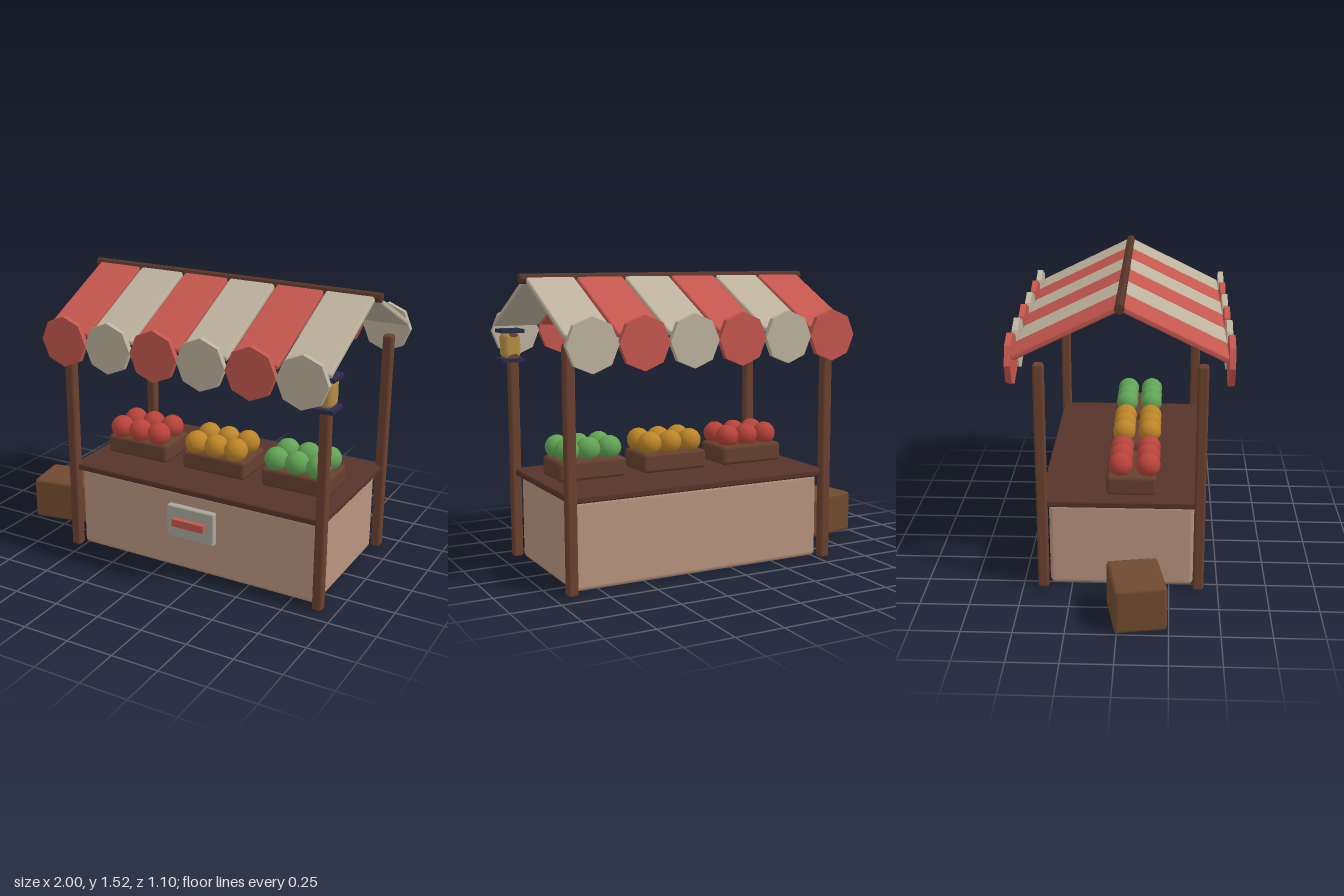
import * as THREE from 'three';
import { RoundedBoxGeometry } from 'three/addons/geometries/RoundedBoxGeometry.js';

const paint = (color, flatShading = false) => new THREE.MeshStandardMaterial({ color, flatShading });

const MATS = {
  post: paint(0x6b412f),
  ridge: paint(0x56352a, true),
  panel: paint(0xb8937f),
  counter: paint(0x57342a),
  tray: paint(0x66402f),
  crate: paint(0x714a30),
  red: paint(0xc4574e),
  cream: paint(0xbdb29d),
  redScallop: paint(0xc4574e, true),
  creamScallop: paint(0xbdb29d, true),
  plate: paint(0xa9a79c),
  lampCap: paint(0x2c2b4c),
  lampGlass: paint(0xb58d45),
};

export function createModel() {
  const model = new THREE.Group();
  const midX = 0.183;

  function add(name, geometry, material, x, y, z, parent = model) {
    const mesh = new THREE.Mesh(geometry, material);
    mesh.name = name;
    mesh.position.set(x, y, z);
    parent.add(mesh);
    return mesh;
  }
  // Box with a single soft chamfer along its edges
  const chamferBox = (w, h, d, bevel) => new RoundedBoxGeometry(w, h, d, 1, bevel);

  // Stall body and counter
  add('stallBody', chamferBox(1.4, 0.45, 0.74, 0.025), MATS.panel, midX, 0.225, 0.005);
  add('counterTop', chamferBox(1.46, 0.036, 0.82, 0.01), MATS.counter, midX, 0.465, 0);

  // Corner posts
  for (const [side, x] of [['left', 0.905], ['right', -0.54]]) {
    for (const [end, z] of [['Front', 0.4], ['Back', -0.395]]) {
      add(side + end + 'Post', chamferBox(0.055, 1.21, 0.055, 0.014), MATS.post, x, 0.605, z);
    }
  }

  // Price sign on the front panel
  add('signPlate', chamferBox(0.276, 0.18, 0.04, 0.008), MATS.plate, 0.18, 0.285, 0.395);
  add('signStripe', new THREE.BoxGeometry(0.184, 0.04, 0.04), MATS.red, 0.18, 0.293, 0.424);

  // Trays, each holding two rows of three fruits
  const fruitGeometry = new THREE.SphereGeometry(0.063, 14, 10);
  const trays = [['redFruit', -0.287, 0xb8443a], ['orangeFruit', 0.183, 0xbd8528], ['greenFruit', 0.65, 0x62a455]];
  for (const [name, x, color] of trays) {
    const tray = new THREE.Group();
    tray.name = name + 'Tray';
    tray.position.set(x, 0, 0);
    model.add(tray);
    add('tray', chamferBox(0.368, 0.104, 0.256, 0.02), MATS.tray, 0, 0.534, 0.053, tray);
    const fruitMaterial = paint(color);
    for (const dx of [-0.117, 0, 0.117]) {
      for (const z of [-0.003, 0.137]) add(name, fruitGeometry, fruitMaterial, dx, 0.63, z, tray);
    }
  }

  // Ridge pole
  const ridge = add('ridgePole', new THREE.CylinderGeometry(0.025, 0.025, 1.62, 8), MATS.ridge, 0.187, 1.5, 0);
  ridge.rotation.z = Math.PI / 2;

  // Striped canopy: sloping strips with an octagonal scallop at each eave
  const slope = Math.atan2(0.25, 0.51);
  const stripGeometry = chamferBox(0.252, 0.03, 0.575, 0.01);
  const scallopGeometry = new THREE.CylinderGeometry(0.131, 0.131, 0.03, 8);
  scallopGeometry.rotateX(Math.PI / 2);
  for (let i = 0; i < 6; i++) {
    const x = -0.473 + i * 0.2632;
    const isRed = i % 2 === 0;
    for (const s of [1, -1]) {
      const strip = add('canopyStrip', stripGeometry, isRed ? MATS.red : MATS.cream, x, 1.374, s * 0.258);
      strip.rotation.x = s * slope;
      add('canopyScallop', scallopGeometry, isRed ? MATS.redScallop : MATS.creamScallop, x, 1.21, s * 0.535);
    }
  }

  // Lantern on the left front post
  const lantern = new THREE.Group();
  lantern.name = 'lantern';
  lantern.position.set(0.91, 0, 0.423);
  model.add(lantern);
  add('lanternGlass', chamferBox(0.095, 0.138, 0.102, 0.025), MATS.lampGlass, 0, 1.142, 0, lantern);
  for (const y of [1.065, 1.218]) {
    add('lanternPlate', new THREE.BoxGeometry(0.12, 0.02, 0.12), MATS.lampCap, 0, y, 0, lantern);
  }

  // Loose crate beside the stall
  const crate = add('crate', chamferBox(0.318, 0.235, 0.26, 0.02), MATS.crate, -0.823, 0.1175, 0.09);
  crate.rotation.y = THREE.MathUtils.degToRad(10);

  return model;
}
